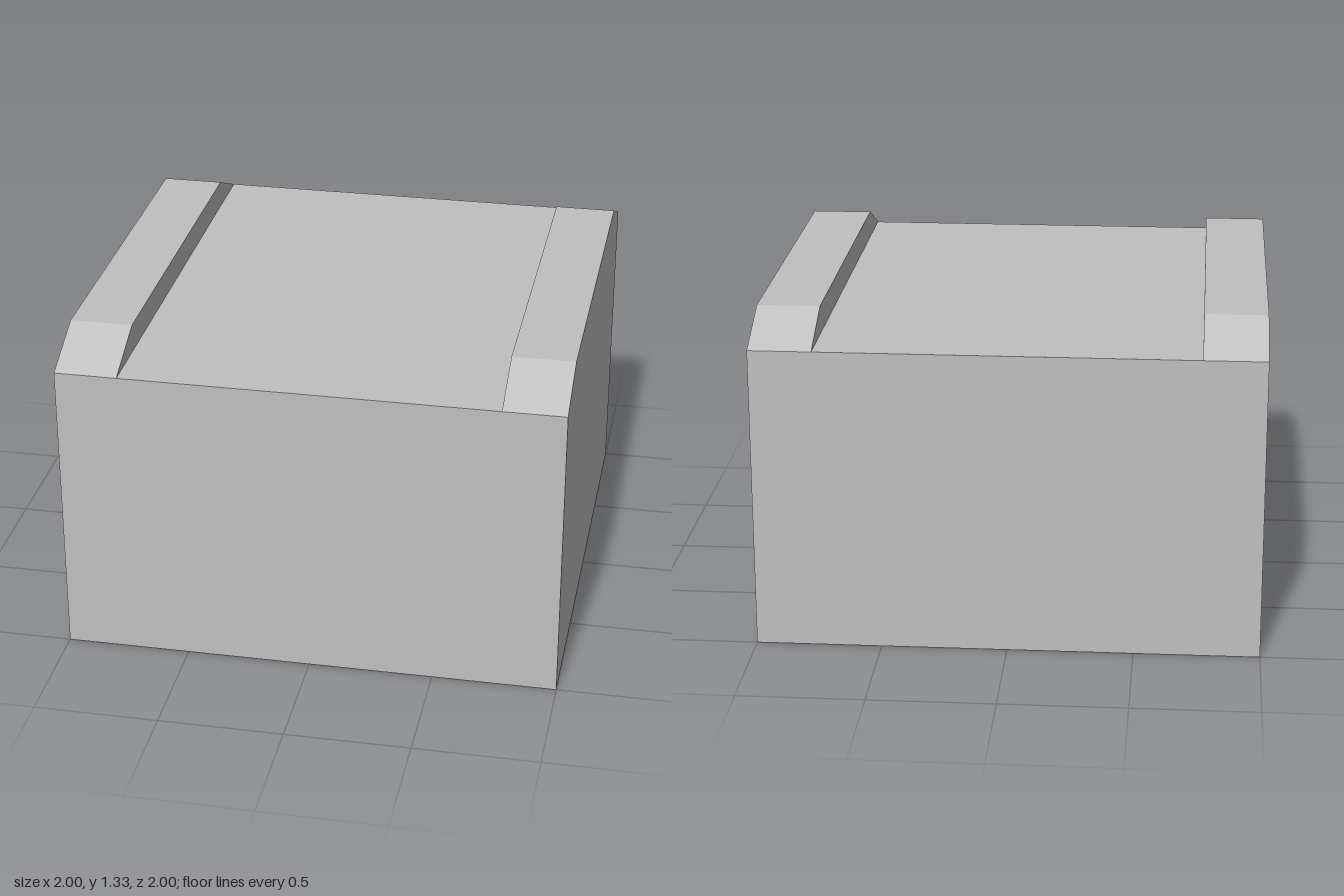
import * as THREE from 'three';

const BODY_H = 1.22, TOP = 1.33, RAIL_W = 0.25, WELL_H = 1.11;

// Recesses in the underside: [x centre, z centre, width, depth]
const WELLS = [
  [0, -0.667, 1.667, 0.333],
  [0, 0.667, 1.667, 0.333],
  [-0.667, 0, 0.333, 0.56],
  [0.667, 0, 0.333, 0.56],
  [0, 0, 0.56, 0.56],
];

// Box standing on y = 0 without its bottom; inward turns the faces inside
function openBox(w, h, d, inward = false) {
  const g = new THREE.BoxGeometry(w, h, d).translate(0, h / 2, 0);
  const index = Array.from(g.index.array);
  index.splice(18, 6); // bottom face
  if (inward) {
    index.reverse();
    const n = g.attributes.normal;
    for (let i = 0; i < n.array.length; i++) n.array[i] *= -1;
  }
  g.setIndex(index);
  g.clearGroups();
  return g;
}

function rectangle(Kind, x, z, w, d) {
  const a = w / 2, b = d / 2;
  return new Kind([
    new THREE.Vector2(x - a, z - b), new THREE.Vector2(x + a, z - b),
    new THREE.Vector2(x + a, z + b), new THREE.Vector2(x - a, z + b),
  ]);
}

export function createModel() {
  const model = new THREE.Group();
  model.name = 'block';
  const grey = new THREE.MeshStandardMaterial({ color: 0xc0c0c0 });
  grey.name = 'light grey';

  const add = (name, geometry, x = 0, y = 0, z = 0) => {
    const mesh = new THREE.Mesh(geometry, grey);
    mesh.name = name;
    mesh.position.set(x, y, z);
    model.add(mesh);
  };

  // Outer walls and flat top
  add('body', openBox(2, BODY_H, 2));

  // Underside with openings, facing down
  const base = rectangle(THREE.Shape, 0, 0, 2, 2);
  base.holes = WELLS.map((w) => rectangle(THREE.Path, ...w));
  add('underside', new THREE.ShapeGeometry(base).rotateX(Math.PI / 2));

  // Walls and ceilings of the recesses
  for (const [x, z, w, d] of WELLS) add('recess', openBox(w, WELL_H, d, true), x, 0, z);

  // Raised rails along both sides, sloping down at each end
  const profile = new THREE.Shape([
    new THREE.Vector2(-1, BODY_H), new THREE.Vector2(1, BODY_H),
    new THREE.Vector2(0.75, TOP), new THREE.Vector2(-0.75, TOP),
  ]);
  const rail = new THREE.ExtrudeGeometry(profile, { depth: RAIL_W, bevelEnabled: false })
    .translate(0, 0, -RAIL_W / 2).rotateY(Math.PI / 2);
  add('leftRail', rail, 1 - RAIL_W / 2);
  add('rightRail', rail, -1 + RAIL_W / 2);

  return model;
}
